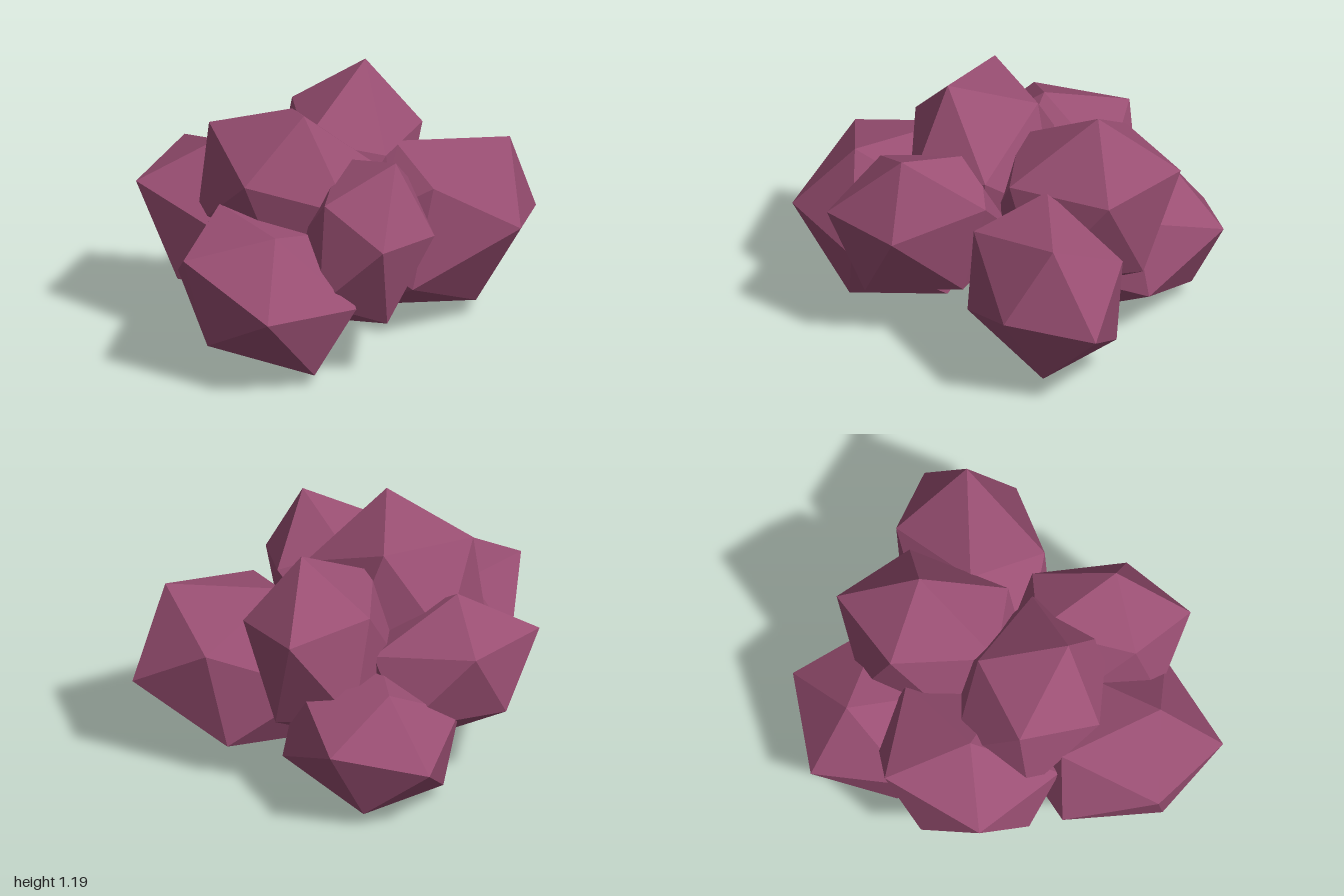
import * as THREE from 'three';

// Each boulder is a stretched icosahedron, set by its centre and the three corners of one face
const boulders = [
  { name: 'frontBoulder', centre: [0.255, 0.40, 0.562], face: [[0.13, 0.63, 1.0], [0.61, 0.41, 0.93], [0.22, 0.21, 0.93]] },
  { name: 'topBoulder', centre: [0.05, 0.72, 0.207], face: [[0.225, 1.183, 0.282], [0.135, 0.885, 0.59], [-0.238, 1.076, 0.44]] },
  { name: 'leftBoulder', centre: [0.504, 0.60, 0.169], face: [[0.676, 1.025, 0.13], [0.876, 0.705, 0.426], [0.834, 0.676, 0.033]] },
  { name: 'backLeftBoulder', centre: [0.34, 0.477, -0.49], face: [[0.558, 0.88, -0.767], [0.505, 0.457, -1.0], [0.754, 0.505, -0.637]] },
  { name: 'backTopBoulder', centre: [-0.074, 0.672, -0.31], face: [[-0.06, 1.198, -0.435], [-0.331, 0.917, -0.712], [-0.39, 0.96, -0.283]] },
  { name: 'rightBoulder', centre: [-0.324, 0.51, 0.178], face: [[-0.753, 0.776, 0.066], [-0.603, 0.715, 0.553], [-0.372, 0.90, 0.246]] },
  { name: 'backRightBoulder', centre: [-0.395, 0.337, -0.281], face: [[-0.627, 0.455, -0.696], [-0.617, 0.668, -0.341], [-0.881, 0.337, -0.304]] },
];

const material = new THREE.MeshStandardMaterial({ color: 0x9a4f73, flatShading: true });

// Stretches a unit icosahedron so that its first face lands on the given corners
function makeBoulder({ name, centre, face }) {
  const geometry = new THREE.IcosahedronGeometry(1, 0);
  const position = geometry.attributes.position;
  const origin = new THREE.Vector3(...centre);

  const from = [0, 1, 2].map((i) => new THREE.Vector3().fromBufferAttribute(position, i));
  const to = face.map((corner) => new THREE.Vector3(...corner).sub(origin));
  const source = new THREE.Matrix4().makeBasis(...from);
  let target = new THREE.Matrix4().makeBasis(...to);
  // Keep the winding facing outward
  if (source.determinant() * target.determinant() < 0) {
    target = new THREE.Matrix4().makeBasis(to[0], to[2], to[1]);
  }

  geometry.applyMatrix4(target.multiply(source.invert()));
  geometry.computeVertexNormals();

  const mesh = new THREE.Mesh(geometry, material);
  mesh.name = name;
  mesh.position.copy(origin);
  return mesh;
}

export function createModel() {
  const group = new THREE.Group();
  group.name = 'boulderCluster';
  for (const boulder of boulders) group.add(makeBoulder(boulder));
  return group;
}
